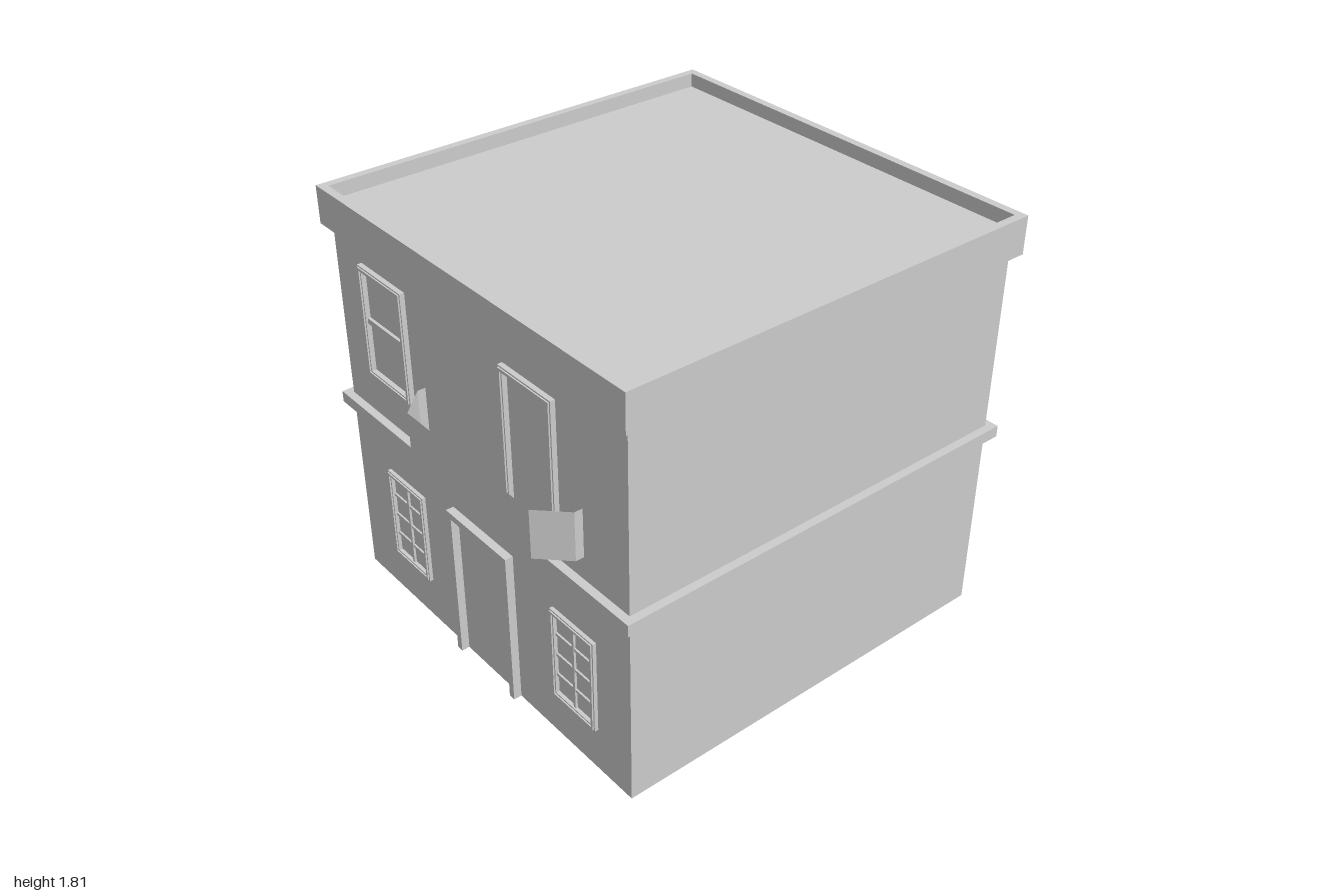
import * as THREE from 'three';

const CZ = -0.055;             // centre of the building in z
const HX = 0.91, HZ = 0.91;    // half sizes of the walls
const WALL_Z = CZ + HZ;        // front wall plane
const grey = new THREE.MeshStandardMaterial({ color: 0xcccccc, flatShading: true, side: THREE.DoubleSide });

function add(parent, name, geometry, x = 0, y = 0, z = 0) {
  const mesh = new THREE.Mesh(geometry, grey);
  mesh.name = name;
  mesh.position.set(x, y, z);
  parent.add(mesh);
  return mesh;
}

// Box given by its minimum and maximum corners
function box(parent, name, x0, x1, y0, y1, z0, z1) {
  return add(parent, name, new THREE.BoxGeometry(x1 - x0, y1 - y0, z1 - z0),
    (x0 + x1) / 2, (y0 + y1) / 2, (z0 + z1) / 2);
}

function rectPoints(x0, x1, y0, y1) {
  return [[x0, y0], [x1, y0], [x1, y1], [x0, y1]].map(([x, y]) => new THREE.Vector2(x, y));
}

// Rectangle with a rectangular hole
function ringShape(outer, inner) {
  const shape = new THREE.Shape(rectPoints(...outer));
  shape.holes.push(new THREE.Path(rectPoints(...inner).reverse()));
  return shape;
}

// Horizontal square ring around the building
function cornice(parent, name, outer, inner, y0, y1) {
  const shape = ringShape([-outer, outer, -outer, outer], [-inner, inner, -inner, inner]);
  const geometry = new THREE.ExtrudeGeometry(shape, { depth: y1 - y0, bevelEnabled: false });
  geometry.rotateX(-Math.PI / 2);
  return add(parent, name, geometry, 0, y0, CZ);
}

// Moulded frame on the front wall: a wide low ring carrying a narrower raised one
function frame(parent, name, x0, x1, y0, y1, w, z1) {
  const group = new THREE.Group();
  group.name = name;
  parent.add(group);
  const layers = [[0, w, z1 - 0.006], [0.006, w - 0.006, z1]];
  for (const [a, b, top] of layers) {
    const shape = ringShape([x0 + a, x1 - a, y0 + a, y1 - a], [x0 + b, x1 - b, y0 + b, y1 - b]);
    add(group, 'frameLayer', new THREE.ExtrudeGeometry(shape, { depth: top - WALL_Z, bevelEnabled: false }), 0, 0, WALL_Z);
  }
  return group;
}

export function createModel() {
  const model = new THREE.Group();
  model.name = 'townHouse';

  // Hollow walls, open underneath
  const walls = new THREE.Group();
  walls.name = 'walls';
  model.add(walls);
  ['frontWall', 'leftWall', 'backWall', 'rightWall'].forEach((name, i) => {
    const a = i * Math.PI / 2;
    const wall = add(walls, name, new THREE.PlaneGeometry(2 * HX, 1.65),
      Math.sin(a) * HX, 0.825, CZ + Math.cos(a) * HZ);
    wall.rotation.y = a;
  });

  // Storey band, parapet and sunken flat roof
  cornice(model, 'storeyBand', 0.945, 0.875, 0.83, 0.88);
  cornice(model, 'parapet', 0.945, 0.91, 1.65, 1.81);
  const roof = add(model, 'roof', new THREE.PlaneGeometry(2 * HX, 2 * HZ), 0, 1.75, CZ);
  roof.rotation.x = -Math.PI / 2;

  // Entrance surround, passing through the wall
  const entrance = new THREE.Group();
  entrance.name = 'entrance';
  model.add(entrance);
  box(entrance, 'jamb', -0.19, -0.16, 0, 0.675, 0.82, 0.89);
  box(entrance, 'jamb', 0.18, 0.21, 0, 0.675, 0.82, 0.89);
  box(entrance, 'lintel', -0.19, 0.21, 0.675, 0.705, 0.82, 0.89);

  // Ground floor windows with eight panes each
  for (const x of [-0.535, 0.585]) {
    const win = frame(model, 'groundWindow', x - 0.13, x + 0.13, 0.2, 0.625, 0.022, 0.877);
    box(win, 'mullion', x - 0.006, x + 0.006, 0.22, 0.605, 0.85, 0.865);
    for (const y of [0.31, 0.41, 0.51]) {
      box(win, 'glazingBar', x - 0.11, x + 0.11, y - 0.006, y + 0.006, 0.85, 0.863);
    }
  }

  // Upper sash window and balcony door
  const sash = frame(model, 'sashWindow', -0.715, -0.41, 1.07, 1.56, 0.024, 0.882);
  box(sash, 'meetingRail', -0.695, -0.43, 1.308, 1.332, 0.855, 0.868);
  frame(model, 'balconyDoor', 0.22, 0.525, 0.97, 1.56, 0.024, 0.882);

  // Balcony: floor slab outline with thin parapet panels
  const balcony = new THREE.Group();
  balcony.name = 'balcony';
  model.add(balcony);
  const path = [[-0.32, WALL_Z], [-0.32, 0.89], [-0.215, 1], [0.55, 1], [0.66, 0.89], [0.66, WALL_Z]];
  const floor = new THREE.ShapeGeometry(new THREE.Shape(path.map(([x, z]) => new THREE.Vector2(x, -z))));
  floor.rotateX(-Math.PI / 2);
  add(balcony, 'balconyFloor', floor, 0, 0.98, 0);
  for (let i = 0; i < path.length - 1; i++) {
    const [x0, z0] = path[i], [x1, z1] = path[i + 1];
    const panel = add(balcony, 'balconyPanel',
      new THREE.PlaneGeometry(Math.hypot(x1 - x0, z1 - z0), 0.21),
      (x0 + x1) / 2, 1.085, (z0 + z1) / 2);
    panel.rotation.y = Math.atan2(z0 - z1, x1 - x0);
  }

  return model;
}
